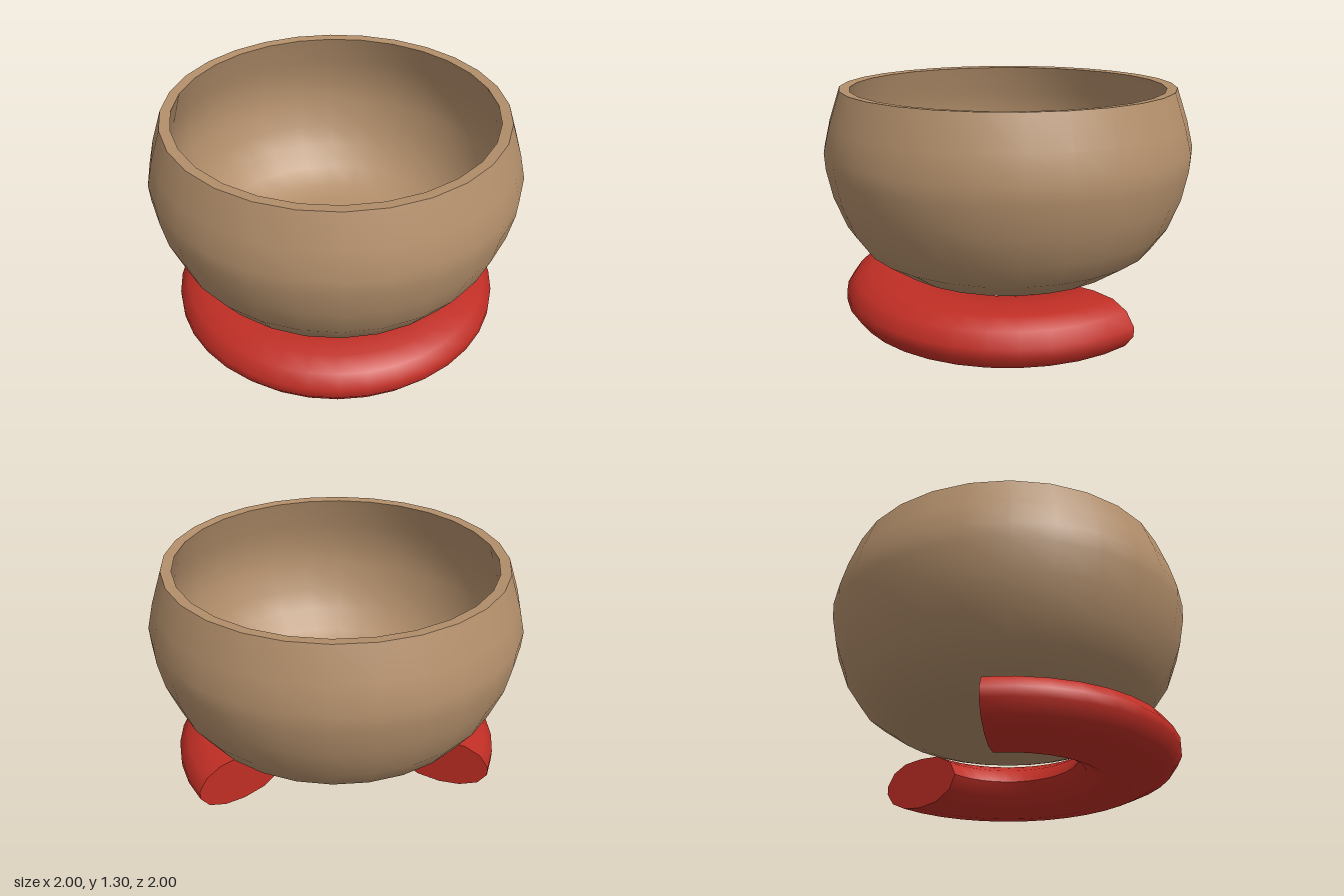
import * as THREE from 'three';
import { toCreasedNormals } from 'three/addons/utils/BufferGeometryUtils.js';

const toPoints = (list) => list.map(([r, y]) => new THREE.Vector2(r, y));

export function createModel() {
  const model = new THREE.Group();
  const clay = new THREE.MeshStandardMaterial({ color: 0xb38f6b });
  clay.name = 'tan clay';
  const cloth = new THREE.MeshStandardMaterial({ color: 0xc02e25, side: THREE.DoubleSide });
  cloth.name = 'red cloth';

  const add = (parent, name, geometry, material) => {
    const mesh = new THREE.Mesh(geometry, material);
    mesh.name = name;
    parent.add(mesh);
    return mesh;
  };

  // Bowl: flat base, round belly, thin rim, then down the inside to the floor
  const bowlProfile = toPoints([
    [0, 0.3], [0.56, 0.31], [0.65, 0.34], [0.81, 0.45], [0.9, 0.58], [0.965, 0.75],
    [0.995, 0.9], [1, 0.99], [0.965, 1.13], [0.905, 1.305],
    [0.85, 1.3], [0.9, 1.13], [0.93, 0.98], [0.92, 0.85], [0.88, 0.7],
    [0.82, 0.57], [0.73, 0.47], [0.61, 0.39], [0.5, 0.37], [0, 0.36],
  ]);
  add(model, 'bowl', toCreasedNormals(new THREE.LatheGeometry(bowlProfile, 28), 0.75), clay);

  // Cushion: a padded roll swept through two thirds of a circle
  const cushion = new THREE.Group();
  cushion.name = 'cushion';
  model.add(cushion);
  const section = toPoints([
    [0.65, 0], [0.77, 0.015], [0.87, 0.06], [0.92, 0.13], [0.92, 0.18], [0.87, 0.25],
    [0.78, 0.29], [0.65, 0.297], [0.52, 0.285], [0.42, 0.23], [0.38, 0.15], [0.42, 0.07],
    [0.52, 0.015], [0.65, 0],
  ]);
  const start = -Math.PI * 5 / 6;
  const sweep = Math.PI * 4 / 3;
  const roll = new THREE.LatheGeometry(section, 24, start, sweep);
  add(cushion, 'cushionRoll', toCreasedNormals(roll, 0.9), cloth);

  // Flat ends of the roll
  for (const [name, phi] of [['backEnd', start], ['sideEnd', start + sweep]]) {
    const end = add(cushion, name, new THREE.ShapeGeometry(new THREE.Shape(section)), cloth);
    end.rotation.y = phi - Math.PI / 2;
  }
  return model;
}
